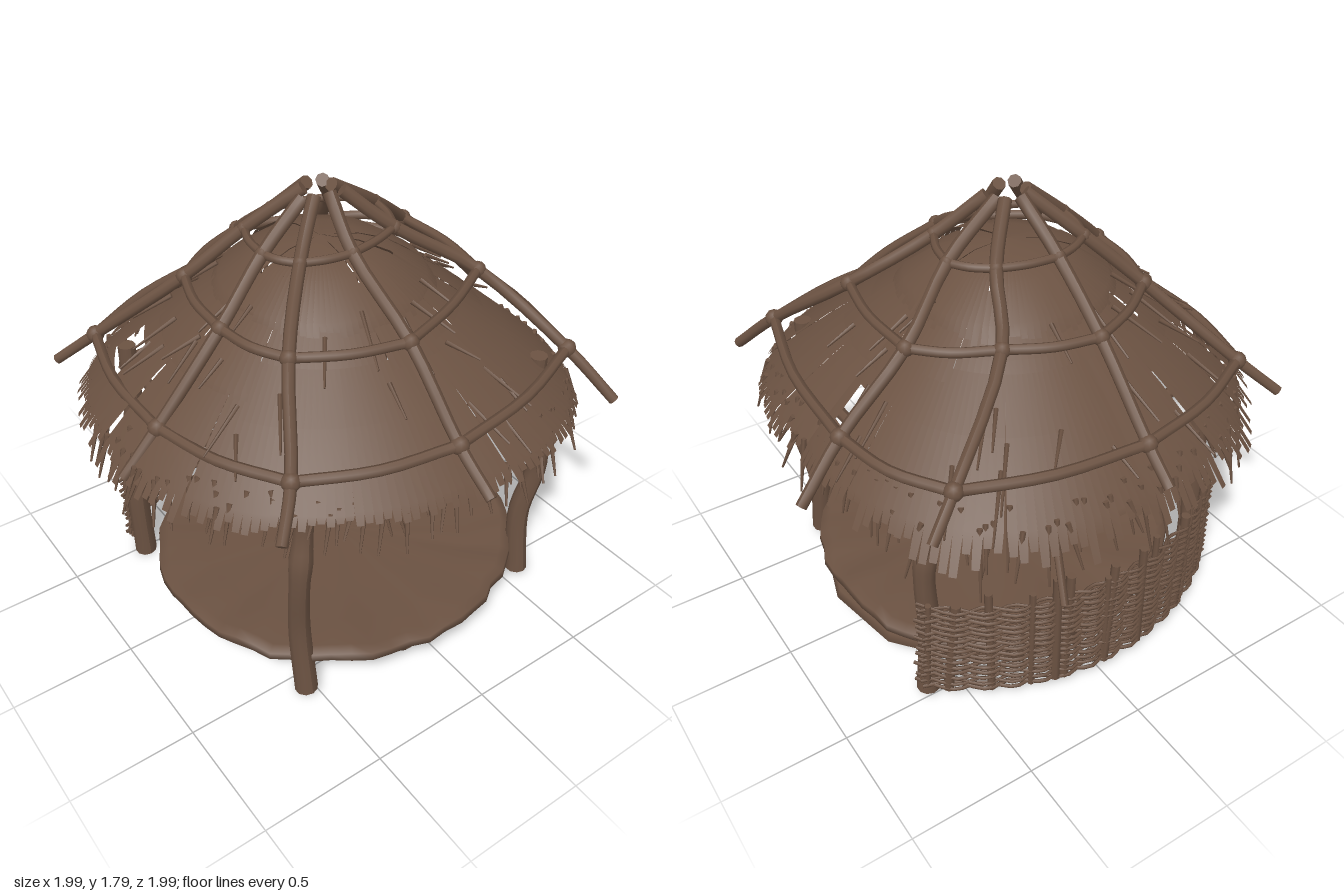
import * as THREE from 'three';
import { mergeGeometries } from 'three/addons/utils/BufferGeometryUtils.js';

let seed = 7;
const rnd = (a = 0, b = 1) => {
  seed = (seed * 16807) % 2147483647;
  return a + (b - a) * seed / 2147483647;
};
const V = (x, y, z) => new THREE.Vector3(x, y, z);
const CX = -0.05;                                  // roof axis
const slopeY = r => 1.85 - 0.88 * r;               // roof pitch
// Point on the roof; the outline bulges toward the two left corners
const onRoof = (a, r, y) => {
  const bulge = 0.1 * Math.max(0, Math.cos(a)) * (2 * Math.abs(Math.sin(a)) - 0.4);
  const s = r * (1 + bulge * r / 0.9);
  return V(CX + s * Math.cos(a), y, s * Math.sin(a));
};

// Capped round timber that follows a list of points; radius may vary along it
function limb(pts, radius, sides = 8, steps = 1) {
  const curve = pts.length === 2 ? new THREE.LineCurve3(...pts) : new THREE.CatmullRomCurve3(pts);
  const rad = typeof radius === 'function' ? radius : () => radius;
  const geo = new THREE.CylinderGeometry(1, 1, 1, sides, steps);
  const dir = pts[pts.length - 1].clone().sub(pts[0]).normalize();
  const ref = Math.abs(dir.y) > 0.8 ? V(0, 0, 1) : V(0, 1, 0);
  const pos = geo.attributes.position;
  for (let i = 0; i < pos.count; i++) {
    const t = THREE.MathUtils.clamp(pos.getY(i) + 0.5, 0, 1);
    const tan = curve.getTangent(t), side = tan.clone().cross(ref).normalize();
    const bin = side.clone().cross(tan), r = rad(t);
    const p = curve.getPoint(t).addScaledVector(side, pos.getX(i) * r).addScaledVector(bin, pos.getZ(i) * r);
    pos.setXYZ(i, p.x, p.y, p.z);
  }
  geo.computeVertexNormals();
  return geo;
}

function surface(pos, idx) {
  const geo = new THREE.BufferGeometry();
  geo.setAttribute('position', new THREE.Float32BufferAttribute(pos, 3));
  geo.setIndex(idx);
  geo.computeVertexNormals();
  return geo;
}

// One layer of thatch: narrow panels grouped in sheets, each with its own ragged end
function thatch(profile, n, tooth, taper, skip = () => false) {
  const pos = [], idx = [];
  let lift = 0, lean = 0, extra = 0, left = 0;
  for (let i = 0; i < n; i++) {
    if (left-- <= 0) {
      lift = rnd(-0.025, 0.012); lean = rnd(-0.02, 0.02); extra = rnd(0, 0.04);
      left = Math.floor(rnd(4, 12));
    }
    const da = Math.PI * 2 / n, mid = (i + 0.5) * da;
    const len = tooth(mid) + extra, [lr, ly] = profile[profile.length - 1];
    const rows = [...profile, [lr + len * 0.6, ly - len * 0.8]];
    const base = pos.length / 3;
    rows.forEach(([r, y], k) => {
      const w = k === rows.length - 1 ? taper : 1.04, f = k / (rows.length - 1);
      for (const s of [-0.5, 0.5]) pos.push(...onRoof(mid + s * da * w + lean * f, r, y + lift * f).toArray());
      if (k && !skip(mid, (r + rows[k - 1][0]) / 2)) {
        const b = base + k * 2;
        idx.push(b - 2, b - 1, b, b - 1, b + 1, b);
      }
    });
  }
  return surface(pos, idx);
}

// Closed surface of stacked rings; each ring is [scale, y, ridge strength]
function ringSolid(rings, n, cx, cz, rx, rz, rough, ridge) {
  const pos = [], idx = [];
  const wob = Array.from({ length: n }, () => [1 + rnd(-rough, rough), rnd(-ridge, ridge)]);
  rings.forEach(([s, y, q], k) => {
    for (let i = 0; i < n; i++) {
      const a = i / n * Math.PI * 2, z = cz + rz * s * wob[i][0] * Math.sin(a);
      pos.push(cx + rx * s * wob[i][0] * Math.cos(a), y + 0.022 * z + wob[i][1] * q, z);
      if (!k) continue;
      const j = (i + 1) % n, u = (k - 1) * n, v = k * n;
      idx.push(u + i, u + j, v + i, u + j, v + j, v + i);
    }
  });
  return surface(pos, idx);
}

export function createModel() {
  seed = 7;
  const model = new THREE.Group();
  const wood = new THREE.MeshStandardMaterial({ color: 0x6b5242, side: THREE.DoubleSide });
  wood.name = 'weathered brown';
  const add = (name, geos) => {
    const mesh = new THREE.Mesh(Array.isArray(geos) ? mergeGeometries(geos) : geos, wood);
    mesh.name = name;
    model.add(mesh);
  };

  // Floor: ridged top slab over a coarse lower slab
  add('floorTop', ringSolid([[0, 0.205, 0], [0.45, 0.205, 0.1], [0.75, 0.21, 0.7], [0.95, 0.225, 1],
    [1, 0.21, 1], [1.005, 0.18, 0.6], [0.96, 0.16, 0], [0, 0.16, 0]], 60, -0.025, 0.06, 0.755, 0.73, 0.018, 0.014));
  add('floorBase', ringSolid([[0, 0.175, 0], [0.98, 0.175, 0], [1, 0.14, 0.4], [0.96, 0.1, 1],
    [0, 0.09, 0]], 14, 0.0, 0.05, 0.745, 0.72, 0.025, 0.012));

  // Four crooked posts with a knot part-way up
  const posts = [
    ['frontRightPost', [V(-0.54, 0.035, 0.585), V(-0.55, 0.35, 0.56), V(-0.56, 0.64, 0.585), V(-0.53, 0.85, 0.57), V(-0.53, 1.08, 0.575)]],
    ['frontLeftPost', [V(0.565, 0.05, 0.585), V(0.565, 0.35, 0.56), V(0.605, 0.62, 0.59), V(0.555, 0.85, 0.57), V(0.55, 1.15, 0.575)]],
    ['backRightPost', [V(-0.67, 0.015, -0.485), V(-0.68, 0.35, -0.475), V(-0.665, 0.64, -0.475), V(-0.65, 0.85, -0.47), V(-0.65, 1.1, -0.47)]],
    ['backLeftPost', [V(0.63, 0.05, -0.48), V(0.61, 0.35, -0.475), V(0.62, 0.64, -0.475), V(0.59, 0.85, -0.47), V(0.57, 1.12, -0.46)]],
  ];
  for (const [name, pts] of posts)
    add(name, limb(pts, t => 0.035 + 0.011 * (1 - t) + 0.007 * Math.exp(-(((t - 0.58) / 0.06) ** 2)), 10, 22));

  // Eave beams from post to post
  const tops = [0, 1, 3, 2].map(i => posts[i][1][4].clone().setY(1.03));
  add('eaveBeams', tops.map((p, i) => {
    const q = tops[(i + 1) % 4], m = p.clone().add(q).multiplyScalar(0.5);
    m.x *= 1.14; m.z *= 1.14;
    return limb([p, m, q], 0.022, 7, 10);
  }));

  // Wattle fence along the back: stakes with pairs of rods woven between them
  const fenceAt = (x, y, out = 0) => V(x, y, 0.25 - Math.sqrt((1.03 + out) ** 2 - (x + 0.035) ** 2));
  const stakes = [[-0.71, 0.53], [-0.61, 0.57], [-0.43, 0.58], [-0.23, 0.62], [-0.16, 0.6], [-0.02, 0.6], [0.01, 0.55],
    [0.17, 0.63], [0.22, 0.63], [0.31, 0.58], [0.46, 0.61], [0.56, 0.55], [0.64, 0.54]];
  add('fenceStakes', stakes.map(([x, top], i) => limb([fenceAt(x + rnd(-0.02, 0.03), 0.1), fenceAt(x, top)],
    i % 3 === 0 ? 0.013 : rnd(0.014, 0.021), 7)));
  const rods = [];
  for (let k = 0; k < 15; k++) for (const phase of [0, 1]) {
    const pts = [], x0 = -0.74 + rnd(0, 0.02), x1 = 0.66 + rnd(0, 0.02);
    for (let i = 0; i <= 14; i++)
      pts.push(fenceAt(x0 + (x1 - x0) * i / 14, 0.112 + k * 0.0295 + rnd(-0.004, 0.004), (i + phase) % 2 ? 0.018 : -0.018));
    rods.push(limb(pts, rnd(0.006, 0.008), 5, 44));
  }
  add('fenceRods', rods);

  // Roof poles: plan points at the three hoops and the free end, then the end height
  const poles = [
    [[0.25, -0.07], [0.5, -0.2], [0.78, -0.22], [0.97, -0.27], 0.985],
    [[0.18, 0.14], [0.46, 0.3], [0.65, 0.62], [0.75, 0.8], 0.99],
    [[-0.06, 0.21], [-0.06, 0.54], [-0.05, 0.81], [-0.05, 0.985], 1.03],
    [[-0.25, 0.16], [-0.45, 0.38], [-0.61, 0.62], [-0.73, 0.74], 1.0],
    [[-0.32, 0.03], [-0.54, 0.09], [-0.82, 0.1], [-0.97, 0.1], 0.97],
    [[-0.27, -0.17], [-0.46, -0.3], [-0.73, -0.57], [-0.86, -0.68], 1.0],
    [[-0.1, -0.25], [-0.1, -0.51], [-0.1, -0.8], [-0.1, -0.93], 1.04],
    [[0.13, -0.2], [0.23, -0.39], [0.6, -0.67], [0.72, -0.73], 1.04],
  ].map(([p, q, r, s, end]) => {
    const a = Math.atan2(p[1], p[0] - CX);
    return [onRoof(a, rnd(0.05, 0.09), rnd(1.765, 1.8)), V(p[0], 1.62, p[1]), V(q[0], 1.425, q[1]),
      V(r[0], 1.15 + 0.03 * r[0], r[1]), V(s[0], end, s[1])];
  });
  add('roofPoles', poles.map(pts => limb(pts, t => 0.026 - 0.005 * t, 8, 16)));
  add('strayPole', limb([V(0.22, 1.2, -0.62), V(0.37, 0.79, -0.985)], 0.015, 6));

  // Three hoops lashed to the poles, with a knot at each crossing
  const hoops = [], knots = [];
  [0.016, 0.019, 0.021].forEach((thick, h) => poles.forEach((pole, i) => {
    const p = pole[h + 1], q = poles[(i + 1) % poles.length][h + 1], m = p.clone().add(q).multiplyScalar(0.5);
    m.x += (m.x - CX) * 0.05; m.z *= 1.05;
    hoops.push(limb([p, m, q], thick, 7, 8));
    const knot = new THREE.IcosahedronGeometry(thick * 1.7, 1);
    knot.translate(p.x, p.y, p.z);
    knots.push(knot);
  }));
  add('roofHoops', hoops);
  add('lashings', knots);

  // Thatch in three overlapping layers, the lowest with holes and a long fringe at the back
  const near = (a, x, z, w) => {
    const d = a - Math.atan2(z, x - CX);
    return Math.cos(d) > Math.cos(w);
  };
  add('upperThatch', thatch([[0, 1.6], [0.14, 1.59], [0.25, 1.555], [0.38, 1.465]], 108, () => rnd(0.01, 0.05), 0.9));
  add('middleThatch', thatch([[0.26, 1.525], [0.46, 1.385], [0.6, 1.275]], 132, () => rnd(0.01, 0.05), 0.9));
  add('lowerThatch', thatch([[0.5, 1.35], [0.67, 1.225], [0.79, 1.125], [0.89, 1.035]], 180,
    a => rnd(0, 0.04) + rnd(0, 0.09) * (0.6 - 0.5 * Math.sin(a)), 0.75,
    (a, r) => r > 0.67 && r < 0.79 && (near(a, -0.73, -0.35, 0.11) || near(a, 0.77, -0.1, 0.04))));

  // Loose straw: hanging fringe at the eaves and stray stalks on the slope
  const fringe = [], stalks = [];
  for (let i = 0; i < 130; i++) {
    const a = i / 130 * Math.PI * 2 + rnd(-0.03, 0.03), back = 0.5 - 0.5 * Math.sin(a);
    const r = rnd(0.82, 0.9), len = rnd(0.05, 0.1) + rnd(0.02, 0.13) * (0.3 + back);
    const y = slopeY(r) - 0.04;
    fringe.push(limb([onRoof(a, r, y), onRoof(a + rnd(-0.05, 0.05), r + 0.05, y - len - 0.04)],
      t => 0.011 - 0.007 * t, 5));
  }
  for (let i = 0; i < 46; i++) {
    const a = rnd(0, Math.PI * 2), r = rnd(0.35, 0.78), d = rnd(0.1, 0.2);
    stalks.push(limb([onRoof(a, r, slopeY(r) - 0.04), onRoof(a + rnd(-0.08, 0.08), r + d, slopeY(r + d))],
      t => 0.009 - 0.005 * t, 5));
  }
  add('eaveFringe', fringe);
  add('looseStalks', stalks);
  return model;
}
